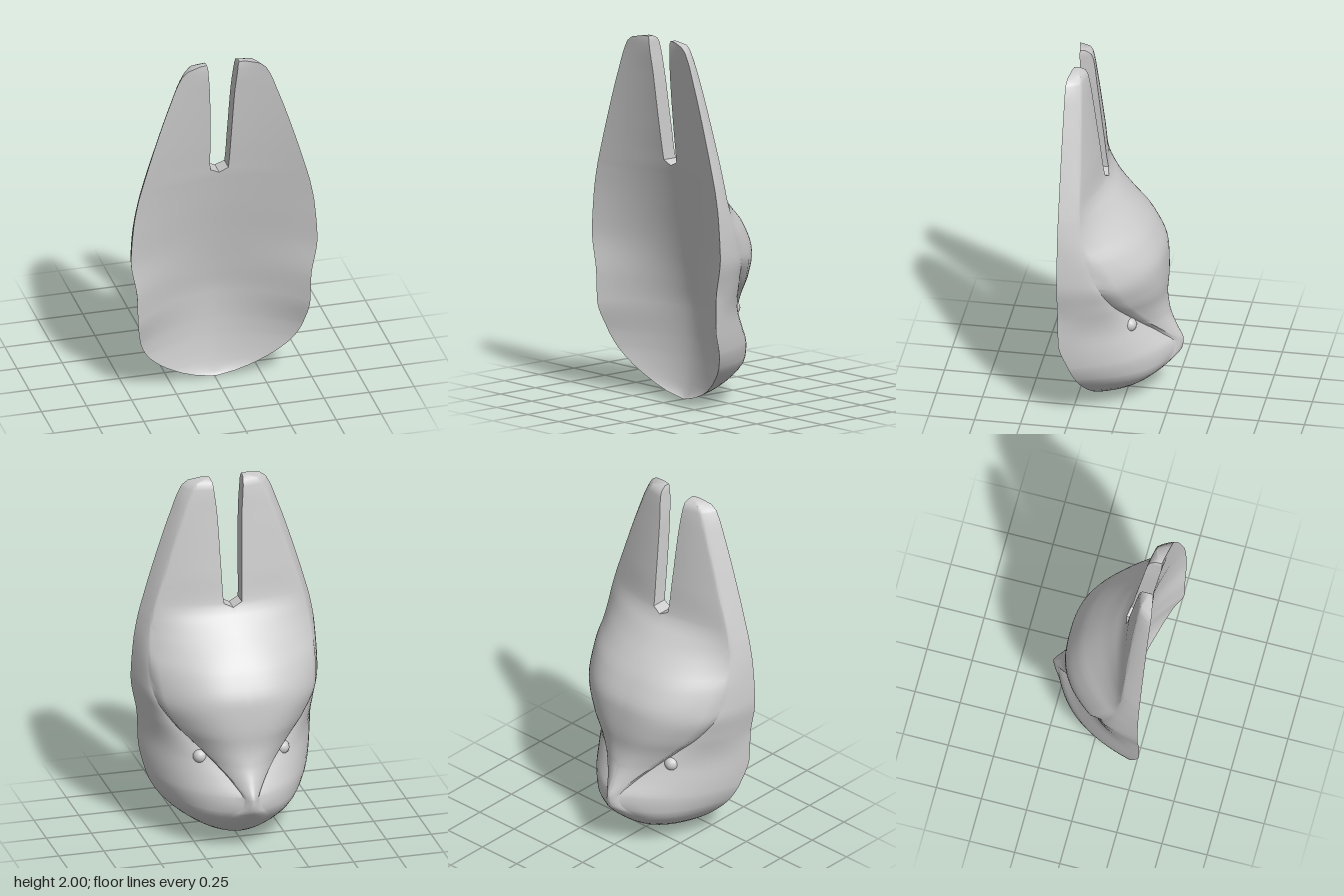
import * as THREE from 'three';
import { toCreasedNormals } from 'three/addons/utils/BufferGeometryUtils.js';

// Rim by height: y, inner x (slot), outer x, rim z, back z at the middle
const RIM = [
  [0.005, 0, 0.008, 0.105, 0.1], [0.03, 0, 0.11, 0.118, 0.09], [0.08, 0, 0.22, 0.14, 0.078],
  [0.16, 0, 0.33, 0.18, 0.066], [0.25, 0, 0.41, 0.218, 0.058], [0.34, 0, 0.45, 0.25, 0.055],
  [0.5, 0, 0.478, 0.3, 0.06], [0.65, 0, 0.483, 0.302, 0.08], [0.87, 0, 0.517, 0.302, 0.118],
  [1.08, 0, 0.503, 0.302, 0.158], [1.24, 0, 0.475, 0.302, 0.187], [1.295, 0, 0.46, 0.302, 0.197],
  [1.32, 0.05, 0.453, 0.302, 0.2], [1.5, 0.057, 0.4, 0.302, 0.225], [1.8, 0.068, 0.3, 0.302, 0.26],
  [1.96, 0.082, 0.232, 0.302, 0.275], [1.985, 0.084, 0.2, 0.298, 0.275], [2, 0.09, 0.13, 0.285, 0.27],
];

// Face by height: y, middle z, brow x, brow z, overhang, dome power
const FACE = [
  [0.005, 0.095, 0.003, 0.098, 0, 2], [0.06, -0.05, 0.06, -0.035, 0, 2],
  [0.12, -0.14, 0.09, -0.117, 0, 2], [0.2, -0.23, 0.115, -0.195, 0, 1.9],
  [0.28, -0.295, 0.05, -0.26, 0, 1.6], [0.33, -0.3, 0.035, -0.27, 0.01, 1.5],
  [0.4, -0.268, 0.075, -0.22, 0.025, 1.6], [0.5, -0.225, 0.16, -0.14, 0.035, 2],
  [0.6, -0.21, 0.255, -0.08, 0.05, 2.3], [0.7, -0.215, 0.35, -0.03, 0.055, 2.5],
  [0.85, -0.207, 0.437, 0.035, 0.055, 2.6], [1.0, -0.14, 0.452, 0.11, 0.03, 2.5],
  [1.08, -0.078, 0.445, 0.155, 0.005, 2.2], [1.2, 0.03, 0.43, 0.185, 0, 1.8],
  [1.31, 0.112, 0.405, 0.192, 0, 1.7], [1.5, 0.14, 0.345, 0.197, 0, 2],
  [1.8, 0.178, 0.245, 0.21, 0, 2], [1.96, 0.2, 0.18, 0.222, 0, 2],
  [1.985, 0.212, 0.165, 0.23, 0, 2], [2, 0.24, 0.115, 0.25, 0, 2],
];

// Cheek between brow and rim: y, guide x as a share of the rim, guide z
const CHEEK = [
  [0.005, 0.8, 0.1], [0.06, 0.8, 0.02], [0.12, 0.8, -0.055], [0.2, 0.8, -0.11],
  [0.3, 0.79, -0.13], [0.4, 0.8, -0.09], [0.52, 0.82, -0.01], [0.7, 0.93, 0.08],
  [0.87, 0.93, 0.13], [1.08, 0.95, 0.2], [1.3, 0.95, 0.23], [1.8, 0.93, 0.245], [2, 0.95, 0.265],
];

// Reads a table at height y, smoothed between its rows
function sample(table, y) {
  let i = 0;
  while (i < table.length - 2 && y > table[i + 1][0]) i++;
  const a = table[i], b = table[i + 1], h = b[0] - a[0];
  const t = Math.min(1, Math.max(0, (y - a[0]) / h)), t2 = t * t, t3 = t2 * t;
  const p = table[i - 1], n = table[i + 2];
  return a.map((v, k) => {
    const d = (b[k] - v) / h;
    const d0 = p ? (v - p[k]) / (a[0] - p[0]) : d;
    const d1 = n ? (n[k] - b[k]) / (n[0] - b[0]) : d;
    // a tangent is kept only where the curve does not turn
    const m0 = d0 * d > 0 ? 2 * d0 * d / (d0 + d) : 0;
    const m1 = d1 * d > 0 ? 2 * d1 * d / (d1 + d) : 0;
    return v * (2 * t3 - 3 * t2 + 1) + h * m0 * (t3 - 2 * t2 + t)
      + b[k] * (3 * t2 - 2 * t3) + h * m1 * (t3 - t2);
  });
}

// Half cross-section: forehead, brow, cheek, rim, then the hollow back
function section(y) {
  const [, xin, w, r, b] = sample(RIM, y);
  const [, c, bxRaw, bz, step, p] = sample(FACE, y);
  const [, share, sz] = sample(CHEEK, y);
  const bx = Math.min(bxRaw, w * 0.94), pts = [];
  for (let i = 0; i <= 16; i++) {
    const t = i / 16, x = xin * (1 - t) + bx * t;
    pts.push([x, y, c + (bz - c) * (x / bx) ** p]);
  }
  const x2 = bx + Math.min(0.008, (w - bx) * 0.2), z2 = bz + step + 0.004;
  const sx = Math.max(share * w, x2);
  for (let i = 0; i <= 12; i++) {
    const t = i / 12, u = 1 - t;
    pts.push([u * u * x2 + 2 * u * t * sx + t * t * w, y, u * u * z2 + 2 * u * t * sz + t * t * r]);
  }
  for (let i = 1; i <= 12; i++) {
    const t = i / 12, x = w * (1 - t) + xin * t;
    pts.push([x, y, b + (r - b) * (x / w) ** 1.8]);
  }
  return pts;
}

function maskGeometry() {
  const heights = new Set(RIM.map((k) => k[0]));
  for (let i = 1; i < 66; i++) {
    const y = Math.round(i * 30) / 1000;
    if (RIM.every((k) => Math.abs(k[0] - y) > 0.008)) heights.add(y);
  }
  const rows = [...heights].sort((a, b) => a - b).map(section);
  const pos = [];
  for (const s of [1, -1]) {
    const tri = (a, b, c) => {
      for (const q of s > 0 ? [a, b, c] : [a, c, b]) pos.push(q[0] * s, q[1], q[2]);
    };
    for (let i = 0; i < rows.length - 1; i++) {
      const lo = rows[i], hi = rows[i + 1], n = lo.length;
      // the slot wall closes the loop only where the two ears are apart
      const count = hi[0][0] > 0 ? n : n - 1;
      for (let j = 0; j < count; j++) {
        const k = (j + 1) % n;
        tri(lo[j], hi[j], hi[k]);
        tri(lo[j], hi[k], lo[k]);
      }
    }
    // ear tip
    const top = rows[rows.length - 1];
    for (let j = 1; j < top.length - 1; j++) tri(top[0], top[j + 1], top[j]);
  }
  const geo = new THREE.BufferGeometry();
  geo.setAttribute('position', new THREE.Float32BufferAttribute(pos, 3));
  return toCreasedNormals(geo, 0.7);
}

export function createModel() {
  const group = new THREE.Group();
  group.name = 'earedMask';
  const grey = new THREE.MeshStandardMaterial({ color: 0xcccccc });
  grey.name = 'light grey';

  const mask = new THREE.Mesh(maskGeometry(), grey);
  mask.name = 'maskBody';
  group.add(mask);

  // Bead eyes under the brow
  for (const s of [1, -1]) {
    const eye = new THREE.Mesh(new THREE.SphereGeometry(0.04, 14, 10), grey);
    eye.name = s > 0 ? 'leftEye' : 'rightEye';
    eye.position.set(s * 0.228, 0.52, -0.045);
    group.add(eye);
  }
  return group;
}
